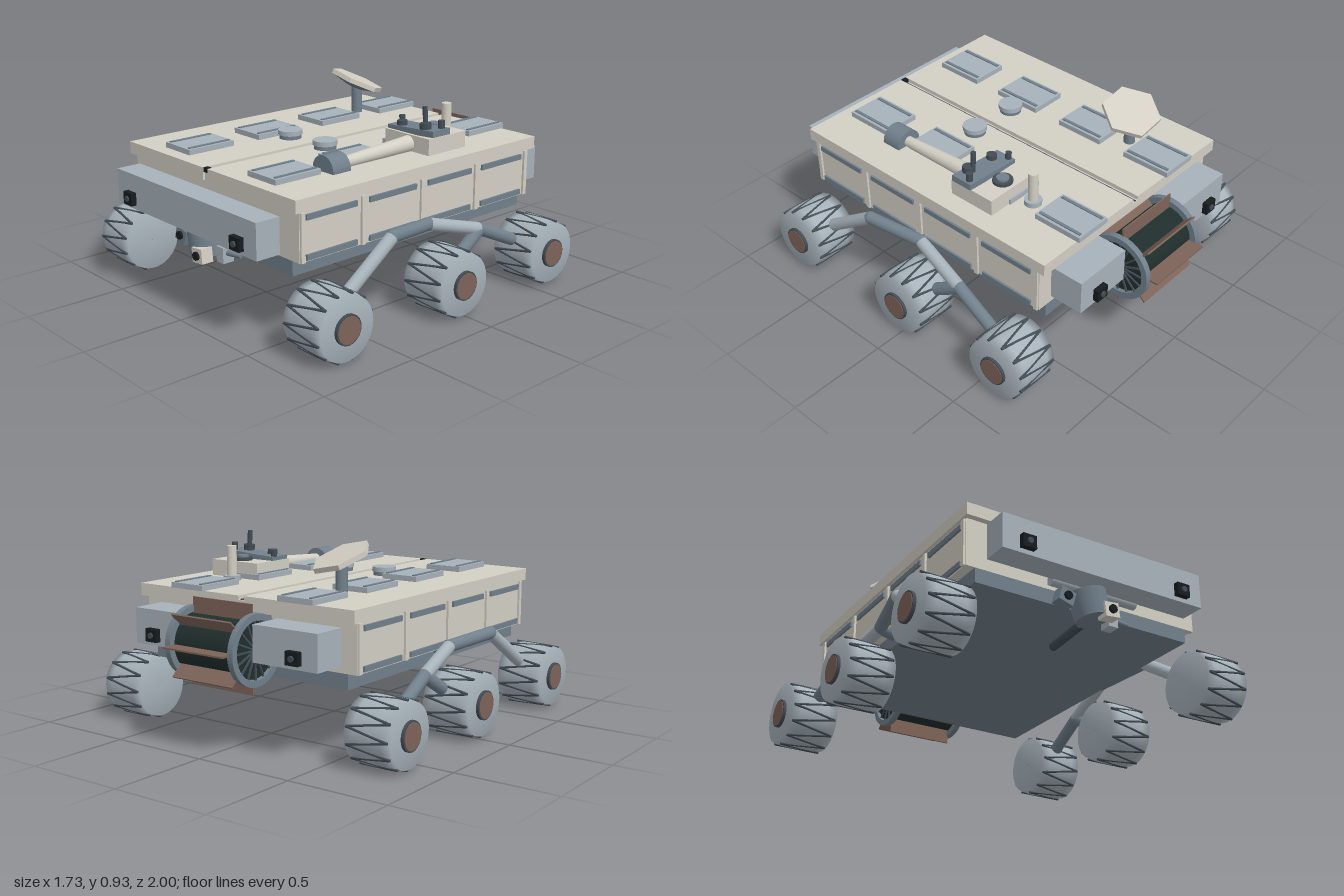
import * as THREE from 'three';

const mat = (name, color, extra = {}) => {
  const m = new THREE.MeshStandardMaterial({ color, ...extra });
  m.name = name;
  return m;
};

export function createModel() {
  const cream = mat('cream', 0xd3cfc4);
  const light = mat('light blue grey', 0xa7b2ba);
  const steel = mat('steel grey', 0x71808c);
  const dark = mat('dark slate', 0x434d55);
  const black = mat('black', 0x171c1e);
  const core = mat('dark green', 0x1f2e2c);
  const brown = mat('brown', 0x7d6358);

  const rover = new THREE.Group();
  rover.name = 'rover';

  const add = (name, geo, m, x = 0, y = 0, z = 0, parent = rover) => {
    const mesh = new THREE.Mesh(geo, m);
    mesh.name = name;
    mesh.position.set(x, y, z);
    parent.add(mesh);
    return mesh;
  };
  // Box given by its limits on each axis
  const box = (name, m, x0, x1, y0, y1, z0, z1, parent) =>
    add(name, new THREE.BoxGeometry(x1 - x0, y1 - y0, z1 - z0), m,
      (x0 + x1) / 2, (y0 + y1) / 2, (z0 + z1) / 2, parent);
  // Upright cylinder from y0 to y1
  const post = (name, m, x, z, r, y0, y1, parent, rTop = r, sides = 24) =>
    add(name, new THREE.CylinderGeometry(rTop, r, y1 - y0, sides), m, x, (y0 + y1) / 2, z, parent);
  // Tube between two points
  const rod = (name, m, a, b, r, r2 = r, parent) => {
    const p = new THREE.Vector3(...a), q = new THREE.Vector3(...b);
    const mesh = add(name, new THREE.CylinderGeometry(r2, r, p.distanceTo(q), 20), m, 0, 0, 0, parent);
    mesh.position.addVectors(p, q).multiplyScalar(0.5);
    mesh.quaternion.setFromUnitVectors(new THREE.Vector3(0, 1, 0), q.sub(p).normalize());
    return mesh;
  };

  // Body, belly and split lid
  box('body', cream, -0.615, 0.615, 0.4, 0.635, -0.67, 0.8);
  box('belly', steel, -0.57, 0.57, 0.33, 0.4, -0.67, 0.8);
  box('lidLeft', cream, 0.012, 0.63, 0.63, 0.69, -0.71, 0.83);
  box('lidRight', cream, -0.63, -0.022, 0.63, 0.69, -0.71, 0.83);
  box('lidSeam', cream, -0.022, 0.012, 0.63, 0.67, -0.71, 0.82);
  box('seamLine', dark, -0.008, -0.002, 0.67, 0.676, -0.71, 0.82);
  box('seamLatch', black, -0.018, 0.008, 0.67, 0.692, 0.805, 0.83);

  // Side bays with slots and ribs
  for (const s of [-1, 1]) {
    for (const z of [0.62, 0.255, -0.113, -0.478])
      for (const y of [0.6, 0.42])
        add('sideSlot', new THREE.BoxGeometry(0.015, 0.026, 0.29), steel, s * 0.618, y, z);
    for (const z of [0.785, 0.438, 0.07, -0.295, -0.655])
      add('sideRib', new THREE.BoxGeometry(0.012, 0.225, 0.022), cream, s * 0.62, 0.513, z);
  }

  // Deck panels in two rows
  for (const x of [-0.323, 0.317])
    for (const z of [0.632, 0.222, -0.19, -0.595]) {
      add('deckPanel', new THREE.BoxGeometry(0.195, 0.026, 0.258), light, x, 0.703, z);
      for (const s of [-1, 1])
        add('deckSlot', new THREE.BoxGeometry(0.015, 0.008, 0.235), steel, x + s * 0.076, 0.717, z);
    }

  // Front and rear boxes with square cameras
  box('frontBox', light, -0.535, 0.535, 0.43, 0.6, 0.84, 0.965);
  box('frontMount', dark, -0.45, 0.45, 0.46, 0.57, 0.8, 0.84);
  box('rearBoxLeft', light, 0.23, 0.535, 0.43, 0.6, -0.84, -0.67);
  box('rearBoxRight', light, -0.535, -0.18, 0.43, 0.6, -0.84, -0.67);
  for (const x of [-0.415, 0.415])
    for (const [z, s] of [[0.965, 1], [-0.84, -1]]) {
      add('hazardCamera', new THREE.BoxGeometry(0.068, 0.062, 0.036), black, x, 0.482, z + s * 0.009);
      const lens = add('cameraLens', new THREE.CylinderGeometry(0.014, 0.014, 0.016, 16), dark, x, 0.482, z + s * 0.027);
      lens.rotation.x = Math.PI / 2;
    }

  // Finned power unit at the back
  const power = new THREE.Group();
  power.name = 'powerUnit';
  power.position.set(0.027, 0.475, -0.8);
  rover.add(power);
  add('powerCore', new THREE.CylinderGeometry(0.13, 0.13, 0.37, 32), core, 0, 0, 0, power).rotation.z = Math.PI / 2;
  const ringShape = new THREE.Shape().absarc(0, 0, 0.165, 0, Math.PI * 2);
  ringShape.holes.push(new THREE.Path().absarc(0, 0, 0.135, 0, Math.PI * 2, true));
  const ringGeo = new THREE.ExtrudeGeometry(ringShape, { depth: 0.03, bevelEnabled: false, curveSegments: 32 });
  ringGeo.translate(0, 0, -0.015).rotateY(Math.PI / 2);
  for (const s of [-1, 1]) {
    add('powerRing', ringGeo, steel, s * 0.185, 0, 0, power);
    for (let i = 0; i < 8; i++)
      add('ringSpoke', new THREE.BoxGeometry(0.01, 0.27, 0.008), dark, s * 0.187, 0, 0, power)
        .rotation.x = i * Math.PI / 8;
  }
  for (let i = 0; i < 8; i++) {
    const a = i * Math.PI / 4;
    add('coolingFin', new THREE.BoxGeometry(0.352, 0.085, 0.008), brown, 0, Math.cos(a) * 0.162, Math.sin(a) * 0.162, power)
      .rotation.x = a;
  }

  // Wheels: barrel tyre, zigzag tread and hub; the axle lies along x
  const profile = [[0.001, -0.115], [0.148, -0.12], [0.156, -0.07], [0.157, 0], [0.156, 0.07], [0.148, 0.12], [0.001, 0.115]];
  const tyreGeo = new THREE.LatheGeometry(profile.map(p => new THREE.Vector2(...p)), 48).rotateZ(-Math.PI / 2);
  const hubGeo = new THREE.CylinderGeometry(0.07, 0.07, 0.03, 20).rotateZ(Math.PI / 2);
  const capGeo = new THREE.CylinderGeometry(0.063, 0.063, 0.032, 20).rotateZ(Math.PI / 2);
  const teeth = 24;
  const treadPoint = i => {
    const a = i / teeth * Math.PI * 2;
    return [i % 2 ? 0.108 : -0.108, Math.cos(a) * 0.155, Math.sin(a) * 0.155];
  };
  for (const s of [-1, 1])
    for (const z of [0.74, 0.02, -0.61]) {
      const wheel = new THREE.Group();
      wheel.name = 'wheel';
      wheel.position.set(s * 0.73, 0.161, z);
      rover.add(wheel);
      add('tyre', tyreGeo, light, 0, 0, 0, wheel);
      add('hub', hubGeo, dark, s * 0.117, 0, 0, wheel);
      add('hubCap', capGeo, brown, s * 0.119, 0, 0, wheel);
      for (let i = 0; i < teeth; i++)
        rod('tread', dark, treadPoint(i), treadPoint(i + 1), 0.006, 0.006, wheel);
    }

  // Rocker and bogie arms
  for (const s of [-1, 1]) {
    const p = {
      front: [s * 0.72, 0.165, 0.74], knee: [s * 0.7, 0.435, 0.335], pivot: [s * 0.64, 0.41, 0.05],
      bogie: [s * 0.69, 0.33, -0.25], middle: [s * 0.71, 0.165, 0.02], rear: [s * 0.72, 0.165, -0.61],
    };
    for (const [a, b] of [['front', 'knee'], ['knee', 'pivot'], ['pivot', 'bogie'], ['bogie', 'rear'], ['bogie', 'middle']])
      rod('suspensionArm', a === 'knee' || a === 'bogie' ? steel : light, p[a], p[b], 0.031);
    for (const k of ['knee', 'pivot', 'bogie'])
      add('suspensionJoint', new THREE.SphereGeometry(0.032, 16, 12), steel, ...p[k]);
    rod('pivotAxle', steel, [s * 0.55, 0.39, 0.05], p.pivot, 0.03);
  }

  // Hexagonal dish antenna
  post('dishPost', steel, -0.345, -0.41, 0.028, 0.69, 0.84);
  const dish = new THREE.Group();
  dish.name = 'dishAntenna';
  dish.position.set(-0.345, 0.855, -0.41);
  dish.quaternion.setFromUnitVectors(new THREE.Vector3(0, 1, 0), new THREE.Vector3(0.2, 0.9, -0.34).normalize());
  rover.add(dish);
  const flat = (a, b, h) => new THREE.CylinderGeometry(a, b, h, 6).rotateY(Math.PI / 6).toNonIndexed();
  for (const [name, g, m, y] of [['dishFace', flat(0.145, 0.145, 0.024), cream, 0.006], ['dishBack', flat(0.143, 0.05, 0.025), steel, -0.018]]) {
    g.computeVertexNormals();
    add(name, g, m, 0, y, 0, dish);
  }

  // Round deck caps and small antenna
  for (const x of [-0.16, 0.1]) {
    post('deckCapBase', steel, x, 0.205, 0.054, 0.69, 0.715);
    post('deckCap', light, x, 0.205, 0.06, 0.71, 0.733);
  }
  post('smallAntennaBase', light, 0.335, -0.385, 0.042, 0.69, 0.715);
  post('smallAntenna', cream, 0.335, -0.385, 0.024, 0.7, 0.86);

  // Folded mast with camera head
  box('mastBase', cream, 0.24, 0.53, 0.69, 0.77, -0.31, -0.06);
  const head = new THREE.Group();
  head.name = 'cameraHead';
  head.position.set(0.39, 0.785, -0.13);
  head.rotation.z = 0.06;
  rover.add(head);
  box('headPlate', steel, -0.15, 0.15, -0.018, 0.012, -0.06, 0.055, head);
  for (const [x, z, r, h] of [[-0.135, -0.03, 0.015, 0.045], [-0.08, 0.025, 0.025, 0.035], [0.075, 0.025, 0.028, 0.04],
    [0.125, -0.03, 0.016, 0.05], [0.06, 0.01, 0.012, 0.115]])
    post('headLens', dark, x, z, r, 0.01, h, head);
  post('headPivot', dark, 0.385, -0.245, 0.048, 0.765, 0.785);
  post('headPivotCap', steel, 0.385, -0.245, 0.03, 0.78, 0.795);
  rod('mastTube', cream, [0.395, 0.725, -0.07], [0.395, 0.71, 0.38], 0.04, 0.026);
  rod('mastShoulder', steel, [0.393, 0.697, 0.368], [0.393, 0.697, 0.473], 0.07);

  // Folded tool arm and turret under the nose
  rod('toolArm', light, [0.26, 0.435, 0.82], [-0.2, 0.435, 0.82], 0.025);
  rod('toolTurret', steel, [0.01, 0.285, 0.84], [-0.015, 0.41, 0.83], 0.08, 0.09);
  rod('toolForearm', dark, [0.02, 0.315, 0.8], [0.05, 0.315, 0.47], 0.022);
  for (const [x, y, z, a] of [[0.05, 0.31, 0.9, 0.1], [-0.15, 0.345, 0.85, -0.3]]) {
    add('toolBox', new THREE.BoxGeometry(0.075, 0.07, 0.06), a > 0 ? cream : steel, x, y, z).rotation.z = a;
    add('toolLens', new THREE.CylinderGeometry(0.02, 0.02, 0.02, 16), black, x, y, z + 0.032).rotation.x = Math.PI / 2;
  }
  rod('toolDrill', steel, [0.05, 0.32, 0.83], [0.22, 0.325, 0.81], 0.02, 0.01);
  box('toolBracket', light, 0.09, 0.14, 0.275, 0.35, 0.79, 0.85);

  return rover;
}
